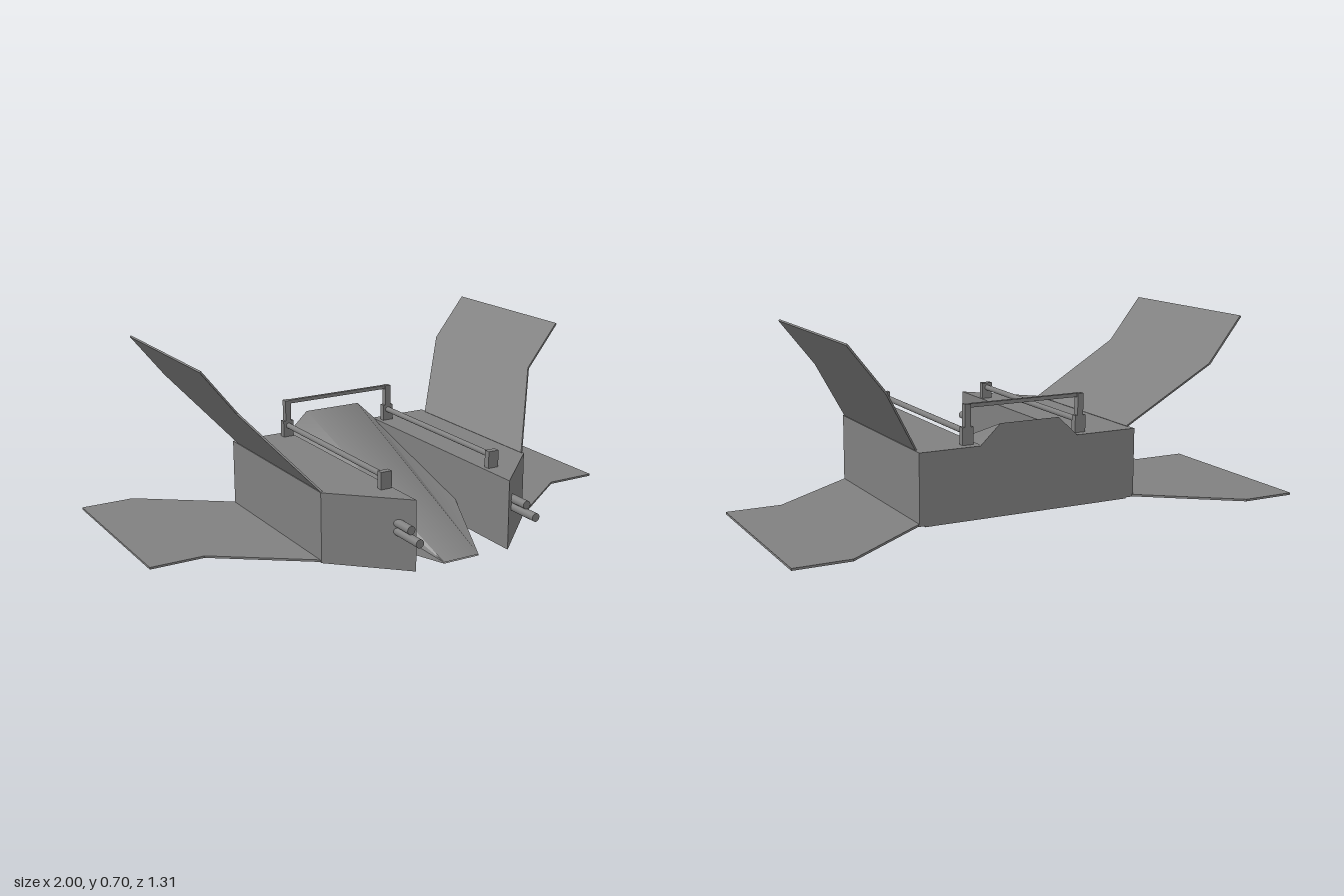
import * as THREE from 'three';
import { toCreasedNormals } from 'three/addons/utils/BufferGeometryUtils.js';

const grey = new THREE.MeshStandardMaterial({ color: 0x808080 });
const greyDouble = new THREE.MeshStandardMaterial({ color: 0x808080, side: THREE.DoubleSide });

function add(parent, name, geometry, material = grey) {
  const mesh = new THREE.Mesh(geometry, material);
  mesh.name = name;
  parent.add(mesh);
  return mesh;
}

// Flat plate from an [x, z] outline, rising from y = 0; side mirrors it
function plate(outline, height, side) {
  const shape = new THREE.Shape(outline.map(([x, z]) => new THREE.Vector2(side * x, -z)));
  return new THREE.ExtrudeGeometry(shape, { depth: height, bevelEnabled: false }).rotateX(-Math.PI / 2);
}

// Box given by its minimum and maximum corners
function block(x0, x1, y0, y1, z0, z1) {
  return new THREE.BoxGeometry(x1 - x0, y1 - y0, z1 - z0)
    .translate((x0 + x1) / 2, (y0 + y1) / 2, (z0 + z1) / 2);
}

// Rod along z
function rod(radius, x, y, z0, z1) {
  return new THREE.CylinderGeometry(radius, radius, z1 - z0, 16)
    .rotateX(Math.PI / 2).translate(x, y, (z0 + z1) / 2);
}

// Hull lofted from a wide rear section to a thin nose edge, shaded smoothly across its panels
function hullGeometry() {
  const half = [[0.42, 0], [0.42, 0.27], [0.2, 0.27], [0.12, 0.345]];
  const rear = [...half.map(([x, y]) => [-x, y]), ...half.slice().reverse()];
  const n = rear.length;
  const positions = [], index = [];
  for (const [x, y] of rear) positions.push(x, y, -0.4);
  for (const [x, y] of rear) positions.push(Math.sign(x) * 0.075, y > 0 ? 0.005 : 0, 0.548);
  for (let i = 0; i < n; i++) {
    const j = (i + 1) % n;
    index.push(i, i + n, j + n, i, j + n, j);
  }
  const contour = rear.map(([x, y]) => new THREE.Vector2(x, y));
  for (const tri of THREE.ShapeUtils.triangulateShape(contour, [])) index.push(tri[0], tri[2], tri[1]);
  const geometry = new THREE.BufferGeometry();
  geometry.setAttribute('position', new THREE.Float32BufferAttribute(positions, 3));
  geometry.setIndex(index);
  return toCreasedNormals(geometry, 1.1);
}

export function createModel() {
  const model = new THREE.Group();
  add(model, 'hull', hullGeometry(), greyDouble);

  // Pods and fins sit slightly off centre
  const pods = new THREE.Group();
  pods.name = 'podsAndFins';
  pods.position.x = -0.006;
  model.add(pods);

  const finAngle = Math.atan2(0.43, 0.342);
  for (const side of [1, -1]) {
    const label = side > 0 ? 'left' : 'right';

    // Side pod with a slanted front
    const pod = plate([[0.199, -0.4], [0.446, -0.4], [0.446, 0.325], [0.199, 0.565]], 0.266, side);
    add(pods, label + 'Pod', pod.translate(0, 0.004, 0));

    // Swept lower wing
    const wing = plate([[0.42, -0.4], [0.445, -0.4], [0.79, -0.657], [1, -0.657], [1, 0.065], [0.79, 0.065],
      [0.445, 0.32], [0.42, 0.32]], 0.008, side);
    add(model, label + 'LowerWing', wing.translate(0, 0.005, 0));

    // Slanted upper fin
    const fin = plate([[0, -0.36], [0.331, -0.588], [0.547, -0.588], [0.547, 0.08], [0.331, 0.08], [0, 0.32]], 0.007, side);
    fin.rotateZ(side * finAngle).translate(side * 0.441, 0.268, 0);
    add(pods, label + 'UpperFin', fin);

    // Paired gun barrels
    add(model, label + 'LowerBarrel', rod(0.016, side * 0.248, 0.147, 0.44, 0.655));
    add(model, label + 'UpperBarrel', rod(0.016, side * 0.248, 0.178, 0.44, 0.6));

    // Top rail between two short posts, the rear one extended upwards
    const x = side * 0.233;
    add(model, label + 'FrontPost', block(x - 0.022, x + 0.022, 0.265, 0.335, 0.385, 0.41));
    add(model, label + 'RearPost', block(x - 0.022, x + 0.022, 0.265, 0.335, -0.367, -0.342));
    add(model, label + 'RearPostExtension', block(x - 0.012, x + 0.012, 0.33, 0.418, -0.367, -0.342));
    add(model, label + 'Rail', rod(0.011, x, 0.315, -0.355, 0.395));
  }

  // Bar joining the rear posts
  add(model, 'crossBar', block(-0.233, 0.233, 0.404, 0.418, -0.362, -0.347));
  return model;
}
